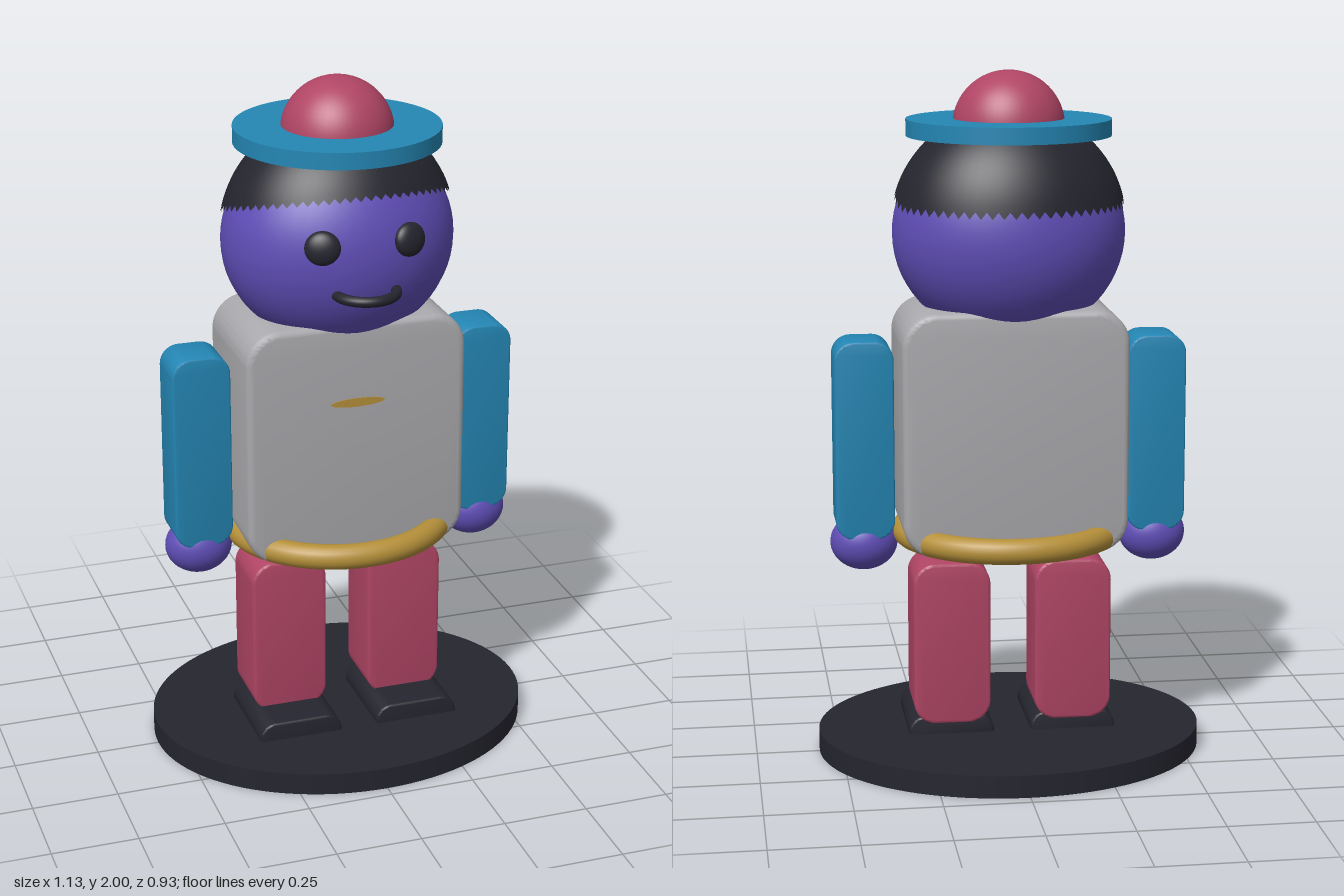
import * as THREE from 'three';
import { toCreasedNormals } from 'three/addons/utils/BufferGeometryUtils.js';

const material = (name, color, side = THREE.FrontSide) => {
  const m = new THREE.MeshStandardMaterial({ color, side });
  m.name = name;
  return m;
};

// Rounded rectangle in x and y, extruded along z with a small bevel, centred on the origin
function roundedSlab(w, h, d, r, bevel) {
  const x = w / 2 - bevel, y = h / 2 - bevel, q = r - bevel;
  const s = new THREE.Shape();
  s.absarc(x - q, y - q, q, 0, Math.PI / 2);
  s.absarc(-x + q, y - q, q, Math.PI / 2, Math.PI);
  s.absarc(-x + q, -y + q, q, Math.PI, Math.PI * 1.5);
  s.absarc(x - q, -y + q, q, Math.PI * 1.5, Math.PI * 2);
  const g = new THREE.ExtrudeGeometry(s, {
    depth: d - 2 * bevel, bevelEnabled: true, bevelThickness: bevel,
    bevelSize: bevel, bevelSegments: 3, curveSegments: 10,
  });
  g.translate(0, 0, -d / 2 + bevel);
  return toCreasedNormals(g, 0.6);
}

const ellipsoid = (rx, ry, rz) => new THREE.SphereGeometry(1, 48, 32).scale(rx, ry, rz);

// Hair cap whose hem slopes up to the forehead and is level at the back
function hairCap(cy, rx, ry, rz) {
  const hem = z => 1.61 + Math.max(0, z + 0.1) * 0.29;
  const g = new THREE.SphereGeometry(1, 64, 24);
  const { position, uv } = g.attributes;
  for (let i = 0; i < position.count; i++) {
    const phi = uv.getX(i) * Math.PI * 2;
    let lo = 0, hi = Math.PI;
    for (let k = 0; k < 30; k++) {
      const t = (lo + hi) / 2;
      if (cy + ry * Math.cos(t) > hem(rz * Math.sin(phi) * Math.sin(t))) lo = t;
      else hi = t;
    }
    const t = Math.min(1, Math.max(0, 1 - uv.getY(i))) * lo;
    const f = Math.round((position.getX(i) === 0 && position.getZ(i) === 0) ? 0 : 1);
    position.setXYZ(i, -rx * Math.cos(phi) * Math.sin(t) * f, ry * Math.cos(t), rz * Math.sin(phi) * Math.sin(t) * f);
  }
  g.computeVertexNormals();
  return g;
}

export function createModel() {
  const dark = material('charcoal', 0x25252f);
  const hairDark = dark;
  hairDark.side = THREE.DoubleSide;
  const rose = material('rose', 0xb04565);
  const blue = material('blue', 0x2486b4);
  const grey = material('grey', 0xaaaaae);
  const violet = material('violet', 0x5f4db6);
  const gold = material('gold', 0xb5903a);

  const model = new THREE.Group();
  model.name = 'figure';
  const add = (name, geometry, mat, x = 0, y = 0, z = 0) => {
    const mesh = new THREE.Mesh(geometry, mat);
    mesh.name = name;
    mesh.position.set(x, y, z);
    model.add(mesh);
    return mesh;
  };

  // Oval stand
  add('stand', new THREE.CylinderGeometry(1, 1, 0.066, 96).scale(0.565, 1, 0.465), dark, 0, 0.033);

  // Body and belt
  add('torso', roundedSlab(0.65, 0.71, 0.37, 0.1, 0.018), grey, 0, 0.98);
  const belt = new THREE.TorusGeometry(0.3, 0.037, 20, 80).rotateX(Math.PI / 2);
  add('belt', belt.scale(1.02, 1, 0.94), gold, 0, 0.667);
  const badge = new THREE.CylinderGeometry(1, 1, 0.004, 32).rotateX(Math.PI / 2);
  add('badge', badge.scale(0.08, 0.013, 1), gold, 0, 1.1, 0.185);

  // Paired limbs and eyes
  for (const [side, s] of [['left', 1], ['right', -1]]) {
    add(side + 'Shoe', roundedSlab(0.25, 0.1, 0.295, 0.048, 0.006), dark, s * 0.18, 0.07, 0.0625);
    add(side + 'Leg', roundedSlab(0.225, 0.485, 0.19, 0.065, 0.008), rose, s * 0.178, 0.3425);
    add(side + 'Arm', roundedSlab(0.17, 0.58, 0.145, 0.055, 0.006), blue, s * 0.425, 0.95);
    add(side + 'Hand', ellipsoid(0.098, 0.084, 0.083), violet, s * 0.426, 0.64);
    const eye = add(side + 'Eye', ellipsoid(0.05, 0.048, 0.026), dark, s * 0.126, 1.592, 0.253);
    eye.rotation.set(-0.15, s * 0.35, 0);
  }

  // Head, hair and mouth
  add('head', ellipsoid(0.335, 0.31, 0.278), violet, 0, 1.54);
  add('hair', hairCap(1.56, 0.338, 0.335, 0.282), hairDark, 0, 1.56);
  const mouth = new THREE.TorusGeometry(0.085, 0.015, 12, 32, Math.PI).rotateX(Math.PI / 2);
  add('mouth', mouth, dark, 0, 1.452, 0.25);

  // Hat
  add('hatBrim', new THREE.CylinderGeometry(0.293, 0.293, 0.048, 80), blue, 0, 1.84);
  add('hatDome', ellipsoid(0.16, 0.158, 0.16), rose, 0, 1.842);

  return model;
}
